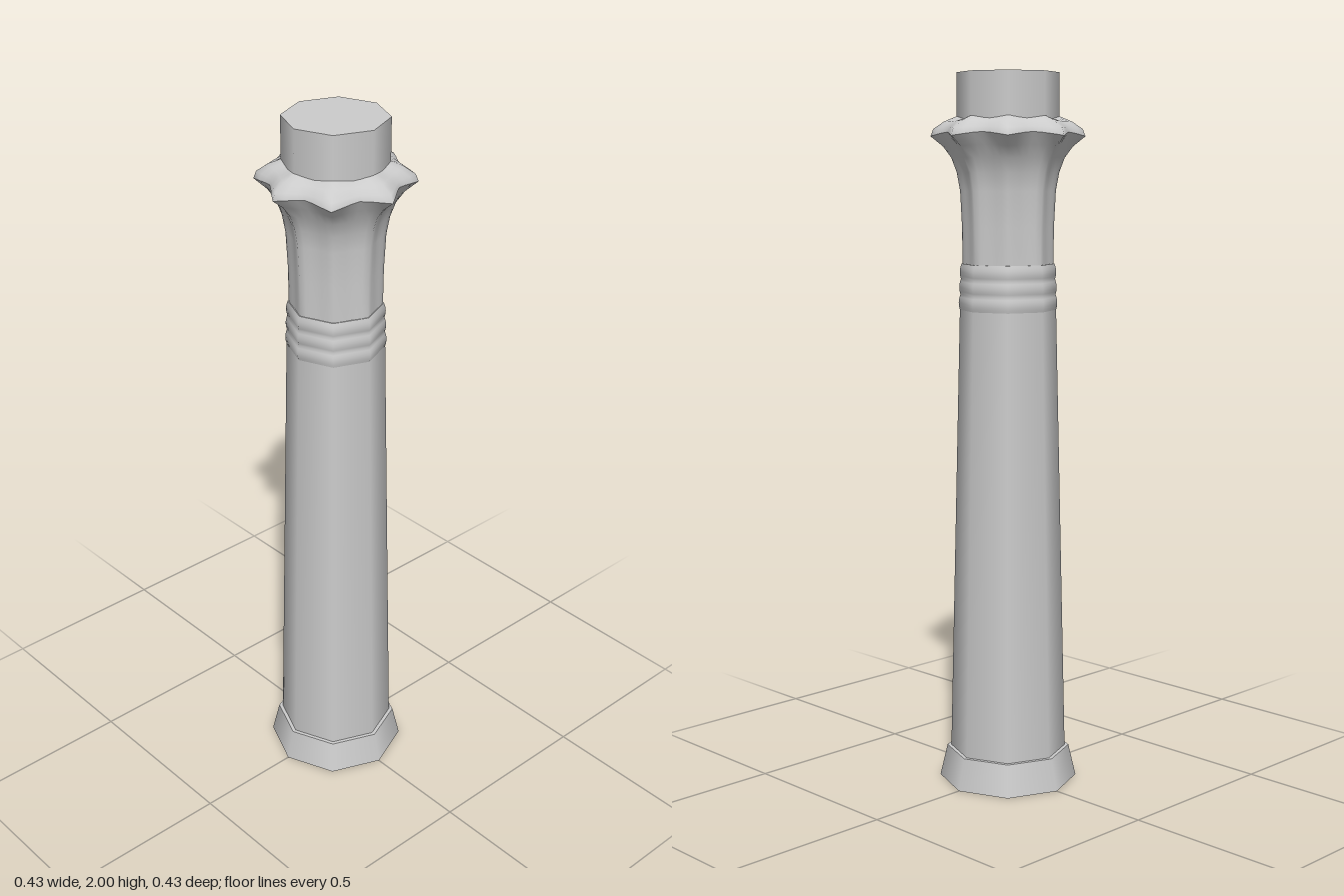
import * as THREE from 'three';
import { mergeVertices } from 'three/addons/utils/BufferGeometryUtils.js';

const SIDES = 8;
const material = new THREE.MeshStandardMaterial({ color: 0xcccccc });

function addMesh(group, name, geometry) {
  const mesh = new THREE.Mesh(geometry, material);
  mesh.name = name;
  group.add(mesh);
}

// Octagonal drum with corners on the axes
function drum(rTop, rBottom, y0, y1) {
  return new THREE.CylinderGeometry(rTop, rBottom, y1 - y0, SIDES).translate(0, (y0 + y1) / 2, 0);
}

// Eight-pointed lathe: each row is [ridge radius, valley radius, ridge y, valley y]
function fluted(rows) {
  const segments = SIDES * 6;
  const geometry = new THREE.LatheGeometry(rows.map(r => new THREE.Vector2(r[0], r[2])), segments);
  const pos = geometry.attributes.position;
  for (let i = 0; i < pos.count; i++) {
    const [ridgeR, valleyR, ridgeY, valleyY] = rows[i % rows.length];
    const step = Math.floor(i / rows.length) % segments;
    const angle = step / segments * Math.PI * 2;
    const t = Math.abs(3 - step % 6) / 3; // 1 on a ridge, 0 in a valley
    const w = Math.pow(t, 1.5);
    const r = valleyR + (ridgeR - valleyR) * w;
    pos.setXYZ(i, Math.sin(angle) * r, valleyY + (ridgeY - valleyY) * w, Math.cos(angle) * r);
  }
  geometry.deleteAttribute('uv');
  geometry.deleteAttribute('normal');
  const merged = mergeVertices(geometry, 1e-5);
  merged.computeVertexNormals();
  return merged;
}

export function createModel() {
  const column = new THREE.Group();
  column.name = 'column';

  addMesh(column, 'base', drum(0.175, 0.196, 0, 0.09));
  addMesh(column, 'shaft', drum(0.134, 0.164, 0.09, 1.352));

  // Three soft rings below the capital
  const ringProfile = [];
  const ringSteps = 18;
  for (let i = 0; i <= ringSteps; i++) {
    const t = i / ringSteps;
    const bulge = 0.004 * Math.abs(Math.sin(t * 3 * Math.PI));
    ringProfile.push(new THREE.Vector2(0.134 - 0.005 * t + bulge, 1.352 + 0.128 * t));
  }
  addMesh(column, 'neckRings', new THREE.LatheGeometry(ringProfile, SIDES));
  addMesh(column, 'ringLedge', drum(0.129, 0.129, 1.47, 1.48));

  // Flared petals of the capital
  addMesh(column, 'capital', fluted([
    [0.126, 0.116, 1.47, 1.47],
    [0.127, 0.116, 1.58, 1.58],
    [0.132, 0.119, 1.68, 1.68],
    [0.141, 0.127, 1.73, 1.73],
    [0.156, 0.142, 1.77, 1.77],
    [0.178, 0.160, 1.80, 1.805],
    [0.2125, 0.178, 1.828, 1.838],
  ]));
  // Scalloped rim sloping in to the block
  addMesh(column, 'rim', fluted([
    [0.2125, 0.178, 1.828, 1.838],
    [0.205, 0.174, 1.848, 1.852],
    [0.175, 0.156, 1.868, 1.868],
    [0.136, 0.125, 1.884, 1.876],
  ]));

  addMesh(column, 'topBlock', drum(0.141, 0.141, 1.85, 2));
  return column;
}
